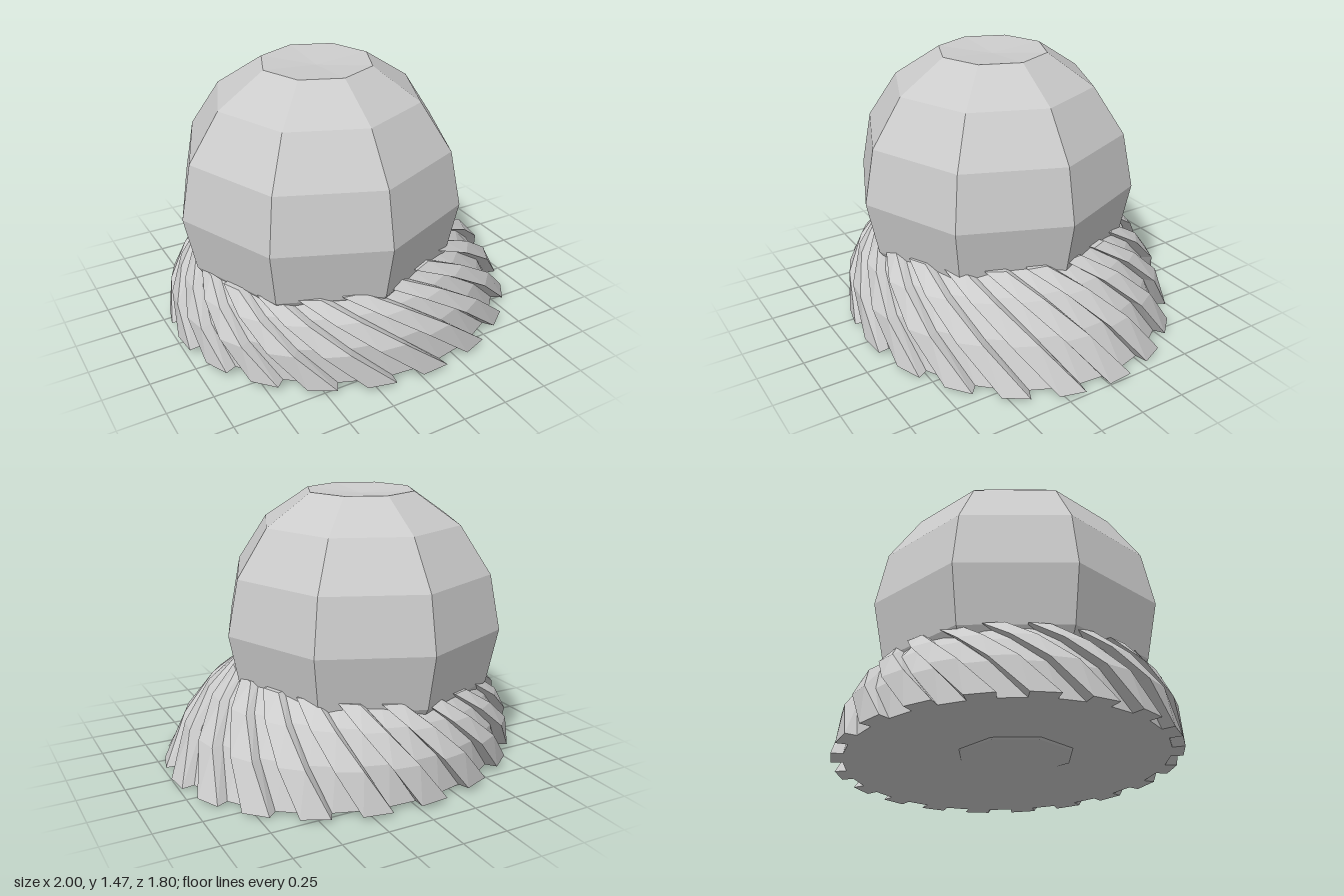
import * as THREE from 'three';

const TEETH = 20;
const STEP = (Math.PI * 2) / TEETH;
const TWIST = THREE.MathUtils.degToRad(12); // turn per ring of the skirt
const VALLEY = 0.93; // groove radius relative to the rib radius

// Skirt rings: centre x, half width x, half depth z, height, lift towards +x
const RINGS = [
  { cx: 0, rx: 1, rz: 0.9, y: 0.028, lift: -0.018 },
  { cx: -0.05, rx: 0.925, rz: 0.87, y: 0.235, lift: 0.01 },
  { cx: -0.09, rx: 0.82, rz: 0.79, y: 0.385, lift: 0.03 },
  { cx: -0.125, rx: 0.71, rz: 0.69, y: 0.485, lift: 0.035 },
];

// Gear outline: each tooth is a flat rib followed by a groove
function outline() {
  const points = [];
  for (let i = 0; i < TEETH; i++) {
    const a = i * STEP;
    points.push([a - STEP / 2, 1], [a, 1], [a, VALLEY], [a + STEP / 2, VALLEY]);
  }
  return points;
}

// Twisted ribbed skirt, closed above and below
function skirtGeometry() {
  const profile = outline();
  const n = profile.length;
  const positions = [];
  const index = [];
  RINGS.forEach((ring, level) => {
    for (const [angle, r] of profile) {
      const c = Math.cos(angle + level * TWIST) * r;
      const s = Math.sin(angle + level * TWIST) * r;
      positions.push(ring.cx + ring.rx * c, ring.y + ring.lift * c, ring.rz * s);
    }
  });
  const top = RINGS[RINGS.length - 1];
  const topStart = (RINGS.length - 1) * n;
  const bottomCentre = RINGS.length * n;
  positions.push(RINGS[0].cx, RINGS[0].y, 0, top.cx, top.y, 0);

  for (let j = 0; j < n; j++) {
    const k = (j + 1) % n;
    for (let level = 0; level < RINGS.length - 1; level++) {
      const a = level * n + j;
      const b = level * n + k;
      index.push(a, a + n, b, b, a + n, b + n);
    }
    index.push(bottomCentre, j, k);
    index.push(bottomCentre + 1, topStart + k, topStart + j);
  }
  const geometry = new THREE.BufferGeometry();
  geometry.setAttribute('position', new THREE.Float32BufferAttribute(positions, 3));
  geometry.setIndex(index);
  geometry.computeVertexNormals();
  return geometry;
}

// Eight-sided ball with flattened poles
function ballGeometry() {
  const radius = 0.785;
  const centre = 0.752;
  const points = [new THREE.Vector2(0, 0.003)];
  for (let i = -3; i <= 3; i++) {
    const a = (i * Math.PI) / 8;
    points.push(new THREE.Vector2(Math.cos(a) * radius, centre + Math.sin(a) * radius));
  }
  points.push(new THREE.Vector2(0, 1.455));
  return new THREE.LatheGeometry(points, 8);
}

export function createModel() {
  const material = new THREE.MeshStandardMaterial({ color: 0xcccccc, flatShading: true });
  const group = new THREE.Group();

  const ball = new THREE.Mesh(ballGeometry(), material);
  ball.name = 'ball';
  ball.position.x = -0.133;

  const skirt = new THREE.Mesh(skirtGeometry(), material);
  skirt.name = 'ribbedSkirt';

  group.add(ball, skirt);
  return group;
}
